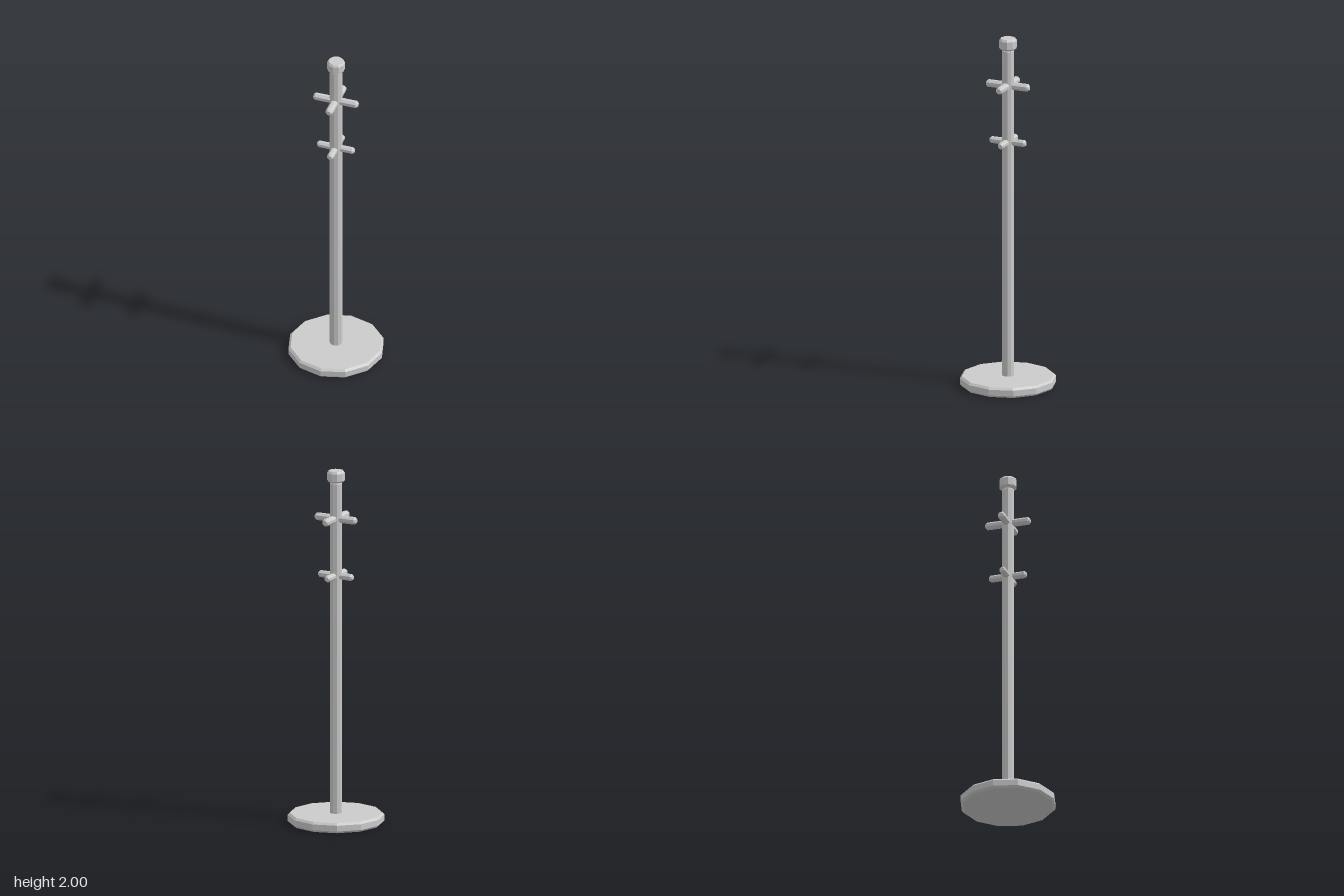
import * as THREE from 'three';

const material = new THREE.MeshStandardMaterial({ color: 0xcccccc, flatShading: true });

// Faceted turned part from [radius, height] pairs, bottom to top
function turned(name, sides, profile) {
  const points = profile.map(([r, y]) => new THREE.Vector2(r, y));
  const mesh = new THREE.Mesh(new THREE.LatheGeometry(points, sides), material);
  mesh.name = name;
  return mesh;
}

// Octagonal peg running outward from the pole axis, with a chamfered tip
function peg(length, halfWidth, y, angle) {
  const r = halfWidth / Math.cos(Math.PI / 8);
  const mesh = turned('peg', 8, [
    [0, 0], [r, 0], [r, length - 0.01], [r * 0.6, length], [0, length],
  ]);
  mesh.geometry.rotateY(Math.PI / 8).rotateX(Math.PI / 2).rotateY(angle);
  mesh.position.y = y;
  return mesh;
}

export function createModel() {
  const model = new THREE.Group();
  model.name = 'coatStand';

  // Round base plate with chamfered rims
  model.add(turned('base', 12, [
    [0, 0], [0.256, 0], [0.268, 0.012], [0.268, 0.045], [0.256, 0.057], [0, 0.057],
  ]));

  // Upright pole
  model.add(turned('pole', 10, [
    [0, 0.05], [0.035, 0.05], [0.035, 1.928], [0.029, 1.936], [0, 1.936],
  ]));

  // Cap on top
  model.add(turned('cap', 10, [
    [0, 1.935], [0.04, 1.935], [0.05, 1.946], [0.05, 1.988], [0.041, 2], [0, 2],
  ]));

  // Two tiers of four pegs
  const tiers = [
    { name: 'upperPegs', y: 1.727, length: 0.129, halfWidth: 0.02 },
    { name: 'lowerPegs', y: 1.403, length: 0.108, halfWidth: 0.018 },
  ];
  for (const { name, y, length, halfWidth } of tiers) {
    const tier = new THREE.Group();
    tier.name = name;
    for (let i = 0; i < 4; i++) tier.add(peg(length, halfWidth, y, (i * Math.PI) / 2));
    model.add(tier);
  }
  return model;
}
